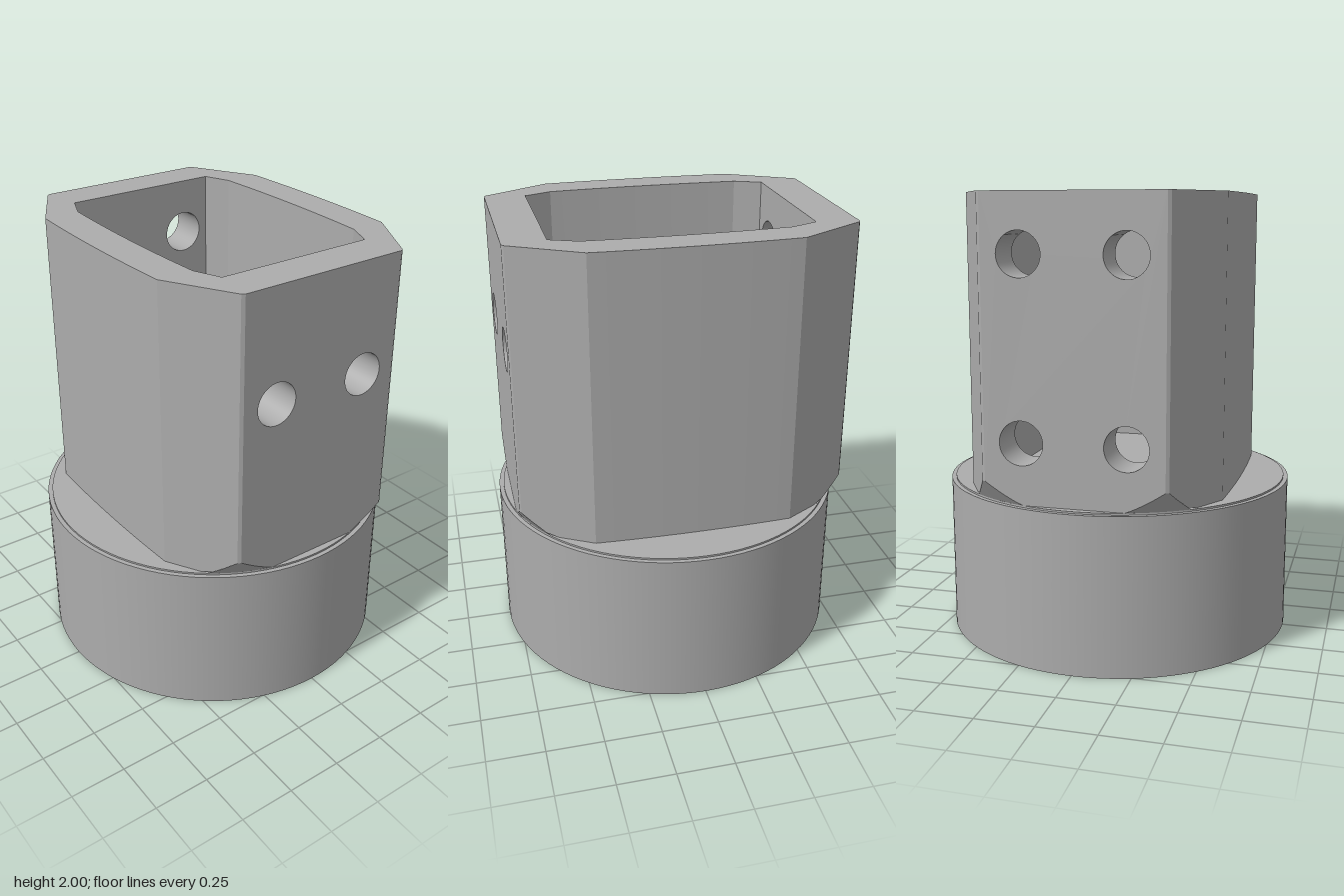
import * as THREE from 'three';
import { toCreasedNormals } from 'three/addons/utils/BufferGeometryUtils.js';

const BASE_R = 0.795, LIP_R = 0.775, LIP_Y = 0.71, TOP = 2;
const FLOOR = 0.76, BORE_TOP = 0.66, HOLE_R = 0.095;

// Underside of the upper body rises where it overhangs the base lip
const underY = (x, z) => LIP_Y + Math.max(0, Math.hypot(x, z) - LIP_R) * 1.5;

// Closed loop mirrored in x and z: flat ends, angled corners, gently bowed sides
function outline(corner, side, bow) {
  const pts = [];
  const [sx, sz] = side;
  const half = [...corner];
  for (let i = 0; i <= 12; i++) {
    const t = 1 - i / 6;
    half.push([sx + bow * (1 - t * t), sz * t]);
  }
  half.push(...corner.map(([x, z]) => [x, -z]).reverse());
  for (const [x, z] of half) pts.push(new THREE.Vector2(x, z));
  for (const [x, z] of half) pts.push(new THREE.Vector2(-x, -z));
  return pts;
}

// Surface of quads between two equally long rows of points
function strip(a, b) {
  const pos = [];
  for (let i = 0; i + 1 < a.length; i++) {
    for (const p of [a[i], b[i], b[i + 1], a[i], b[i + 1], a[i + 1]]) pos.push(p.x, p.y, p.z);
  }
  const g = new THREE.BufferGeometry();
  g.setAttribute('position', new THREE.Float32BufferAttribute(pos, 3));
  return toCreasedNormals(g, 0.3);
}

// Subdivide a run of outline points
function subdivide(pts, n) {
  const out = [];
  for (let i = 0; i + 1 < pts.length; i++)
    for (let k = 0; k < n; k++) out.push(pts[i].clone().lerp(pts[i + 1], k / n));
  out.push(pts[pts.length - 1]);
  return out;
}

export function createModel() {
  const model = new THREE.Group();
  const grey = new THREE.MeshStandardMaterial({ color: 0xacacac, side: THREE.DoubleSide });
  grey.name = 'grey metal';
  const add = (name, geometry, parent = model) => {
    const m = new THREE.Mesh(geometry, grey);
    m.name = name;
    parent.add(m);
    return m;
  };
  const circle = (x, y, r) => new THREE.Path().absarc(x, y, r, 0, Math.PI * 2, true);

  // Round base: one revolved band per surface so the edges stay sharp
  const base = new THREE.Group();
  base.name = 'base';
  model.add(base);
  const bands = {
    baseWall: [BASE_R, 0, BASE_R, 0.702],
    baseShoulder: [BASE_R, 0.702, LIP_R, 0.702],
    lipWall: [LIP_R, 0.702, LIP_R, LIP_Y],
    lipTop: [LIP_R, LIP_Y, 0, LIP_Y],
    boreRoof: [0, BORE_TOP, 0.465, BORE_TOP],
    boreWall: [0.465, BORE_TOP, 0.465, 0.075],
    counterboreLedge: [0.465, 0.075, 0.61, 0.075],
    counterboreWall: [0.61, 0.075, 0.61, 0],
  };
  for (const [name, [r1, y1, r2, y2]] of Object.entries(bands))
    add(name, new THREE.LatheGeometry([new THREE.Vector2(r1, y1), new THREE.Vector2(r2, y2)], 96), base);

  // Bottom ring with four blind screw holes
  const ring = new THREE.Shape().absarc(0, 0, BASE_R, 0, Math.PI * 2, false);
  ring.holes.push(circle(0, 0, 0.61));
  for (let i = 0; i < 4; i++) {
    const a = THREE.MathUtils.degToRad(15 + 90 * i);
    const x = 0.697 * Math.cos(a), z = 0.697 * Math.sin(a);
    ring.holes.push(circle(x, z, 0.052));
    add('screwHoleWall', new THREE.CylinderGeometry(0.052, 0.052, 0.3, 24, 1, true).translate(x, 0.15, z), base);
    add('screwHoleEnd', new THREE.CircleGeometry(0.052, 24).rotateX(Math.PI / 2).translate(x, 0.3, z), base);
  }
  add('bottomRing', new THREE.ShapeGeometry(ring, 48).rotateX(Math.PI / 2), base);

  // Hollow upper body
  const body = new THREE.Group();
  body.name = 'upperBody';
  model.add(body);
  const outer = outline([[0.388, 0.743], [0.402, 0.735]], [0.57, 0.44], 0.012);
  const inner = outline([[0.36, 0.56]], [0.41, 0.44], 0.013);

  const rim = new THREE.Shape(outer);
  rim.holes.push(new THREE.Path(inner));
  add('topRim', new THREE.ShapeGeometry(rim).rotateX(-Math.PI / 2).translate(0, TOP, 0), body);
  add('pocketFloor', new THREE.ShapeGeometry(new THREE.Shape(inner)).rotateX(-Math.PI / 2).translate(0, FLOOR, 0), body);

  // Side walls, outside and inside, on both sides
  const at = (p, y) => new THREE.Vector3(p.x, y, p.y);
  for (const s of [0, 1]) {
    const half = (pts) => pts.slice(s * pts.length / 2, (s + 1) * pts.length / 2);
    const o = subdivide(half(outer), 6), i = half(inner);
    add('sideWall', strip(o.map(p => at(p, TOP)), o.map(p => at(p, underY(p.x, p.y)))), body);
    add('pocketSide', strip(i.map(p => at(p, FLOOR)), i.map(p => at(p, TOP))), body);
  }

  // Conical undercut beneath the overhanging corners
  const loop = subdivide([...outer, outer[0]], 10);
  const pulled = loop.map(p => p.clone().multiplyScalar(Math.min(1, LIP_R / p.length())));
  add('cornerUndercut', strip(loop.map(p => at(p, underY(p.x, p.y))), pulled.map(p => at(p, LIP_Y))), body);

  // Front and back walls with their bolt holes
  const ends = [
    { name: 'front', s: 1, rows: [1.5] },
    { name: 'back', s: -1, rows: [0.975, 1.75] },
  ];
  for (const { name, s, rows } of ends) {
    const bottom = [];
    for (let k = 0; k <= 32; k++) {
      const x = 0.388 * (k / 16 - 1);
      bottom.push(new THREE.Vector2(x, underY(x, 0.743)));
    }
    const face = new THREE.Shape([...bottom, new THREE.Vector2(0.388, TOP), new THREE.Vector2(-0.388, TOP)]);
    const pocket = new THREE.Shape([[-0.36, FLOOR], [0.36, FLOOR], [0.36, TOP], [-0.36, TOP]]
      .map(([x, y]) => new THREE.Vector2(x, y)));
    for (const y of rows) for (const x of [-0.225, 0.225]) {
      face.holes.push(circle(x, y, HOLE_R));
      pocket.holes.push(circle(x, y, HOLE_R));
      add(name + 'BoltHole', new THREE.CylinderGeometry(HOLE_R, HOLE_R, 0.183, 48, 1, true)
        .rotateX(Math.PI / 2).translate(x, y, s * 0.6515), body);
    }
    // Symmetric in x, so a half turn places the back pair
    const turn = s > 0 ? 0 : Math.PI;
    add(name + 'Wall', new THREE.ShapeGeometry(face, 24).translate(0, 0, 0.743).rotateY(turn), body);
    add(name + 'PocketWall', new THREE.ShapeGeometry(pocket, 24).rotateY(Math.PI).translate(0, 0, 0.56).rotateY(turn), body);
  }
  return model;
}
